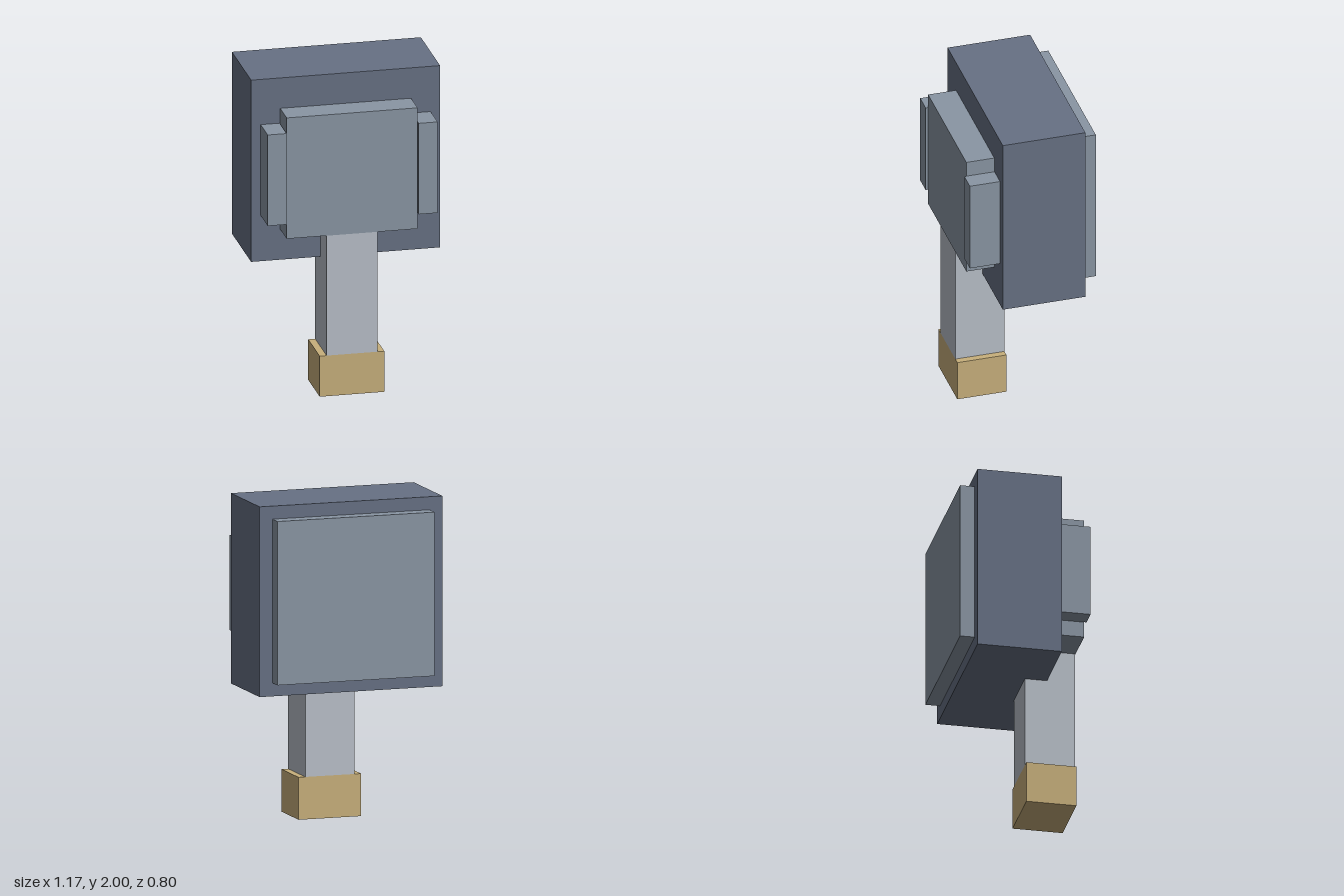
import * as THREE from 'three';

const material = (name, color) => {
  const m = new THREE.MeshStandardMaterial({ color });
  m.name = name;
  return m;
};

export function createModel() {
  const slate = material('dark slate', 0x677184);
  const steel = material('steel grey', 0x8a96a4);
  const silver = material('light silver', 0xb9c0c9);
  const brass = material('tan brass', 0xc8b07c);

  const model = new THREE.Group();
  model.name = 'model';

  // Box given by its extents along each axis
  const block = (name, mat, [x0, x1], [y0, y1], [z0, z1]) => {
    const mesh = new THREE.Mesh(new THREE.BoxGeometry(x1 - x0, y1 - y0, z1 - z0), mat);
    mesh.position.set((x0 + x1) / 2, (y0 + y1) / 2, (z0 + z1) / 2);
    mesh.name = name;
    model.add(mesh);
  };

  // Main housing with its rear cover
  block('housing', slate, [-0.585, 0.585], [0.835, 2], [-0.31, 0.21]);
  block('rearCover', steel, [-0.503, 0.503], [0.917, 1.92], [-0.4, -0.31]);

  // Front plate between two side blocks
  block('frontPlate', steel, [-0.405, 0.405], [1.03, 1.805], [0.21, 0.386]);
  block('leftSideBlock', steel, [0.409, 0.526], [1.127, 1.71], [0.21, 0.4]);
  block('rightSideBlock', steel, [-0.526, -0.409], [1.127, 1.71], [0.21, 0.4]);

  // Post standing on a foot, flush with it front and back
  block('post', silver, [-0.157, 0.157], [0.26, 1.05], [0.073, 0.382]);
  block('foot', brass, [-0.2, 0.2], [0, 0.26], [0.073, 0.382]);

  return model;
}
